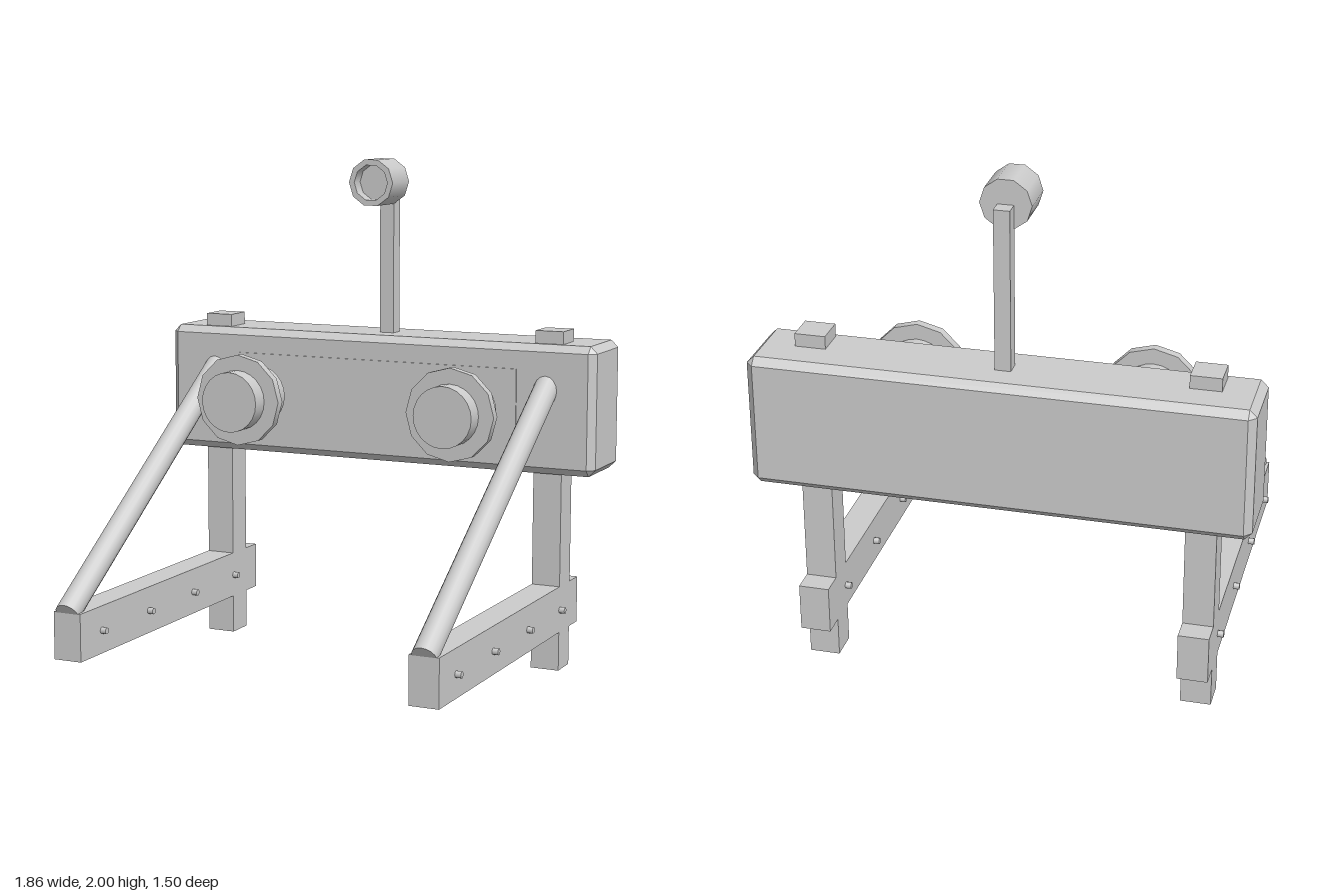
import * as THREE from 'three';
import { ConvexGeometry } from 'three/addons/geometries/ConvexGeometry.js';

const grey = new THREE.MeshStandardMaterial({ color: 0xcccccc });
grey.name = 'plain grey';

export function createModel() {
  const model = new THREE.Group();
  model.name = 'trackStop';

  const add = (name, geometry, parent = model) => {
    const mesh = new THREE.Mesh(geometry, grey);
    mesh.name = name;
    parent.add(mesh);
    return mesh;
  };

  // Box given by its lower and upper limits on each axis
  const box = (name, [x0, x1], [y0, y1], [z0, z1], parent) =>
    add(name, new THREE.BoxGeometry(x1 - x0, y1 - y0, z1 - z0), parent)
      .position.set((x0 + x1) / 2, (y0 + y1) / 2, (z0 + z1) / 2);

  // Cylinder lying along z between two depths
  const drum = (name, r, x, y, [z0, z1], sides, parent) =>
    add(name, new THREE.CylinderGeometry(r, r, z1 - z0, sides).rotateX(Math.PI / 2), parent)
      .position.set(x, y, (z0 + z1) / 2);

  // Cross beam with every edge chamfered
  const half = [0.93, 0.255, 0.152], chamfer = 0.028;
  const corners = [];
  for (const sx of [-1, 1]) for (const sy of [-1, 1]) for (const sz of [-1, 1])
    for (let full = 0; full < 3; full++) {
      const p = half.map((h, axis) => (axis === full ? h : h - chamfer));
      corners.push(new THREE.Vector3(sx * p[0], sy * p[1], sz * p[2]));
    }
  add('crossBeam', new ConvexGeometry(corners)).position.set(0, 1.045, -0.598);
  box('frontPanel', [-0.61, 0.61], [0.95, 1.2], [-0.447, -0.441]);

  // Left and right frames, each with its bumper
  for (const side of [-1, 1]) {
    const frame = new THREE.Group();
    frame.name = side > 0 ? 'leftFrame' : 'rightFrame';
    model.add(frame);
    const x = side * 0.728, width = [x - 0.058, x + 0.058];
    box('post', width, [0, 1.35], [-0.605, -0.488], frame);
    box('footRail', width, [0.155, 0.34], [-0.695, 0.725], frame);

    // Slanted brace from the rail's front end up into the beam
    const foot = new THREE.Vector3(x, 0.335, 0.723);
    const head = new THREE.Vector3(x, 1.157, -0.5);
    const brace = add('brace', new THREE.CylinderGeometry(0.048, 0.048, foot.distanceTo(head), 16), frame);
    brace.position.copy(foot).lerp(head, 0.5);
    brace.quaternion.setFromUnitVectors(new THREE.Vector3(0, 1, 0), head.clone().sub(foot).normalize());

    // Bolts passing through the rail
    for (const z of [0.572, 0.217, -0.14, -0.495]) {
      const bolt = add('bolt', new THREE.CylinderGeometry(0.013, 0.013, 0.162, 8).rotateZ(Math.PI / 2), frame);
      bolt.position.set(x, 0.245, z);
    }

    // Bumper shaft and its collar, standing clear of the beam
    drum('bumperShaft', 0.12, side * 0.457, 1.05, [-0.316, -0.062], 24, frame);
    drum('bumperCollar', 0.182, side * 0.457, 1.05, [-0.172, -0.135], 12, frame);
  }

  // Lamp on a pole; each profile segment is its own surface, so edges stay sharp
  box('lampPole', [-0.03, 0.03], [1.28, 1.91], [-0.625, -0.565]);
  const lamp = new THREE.Group();
  lamp.name = 'lamp';
  lamp.position.set(0, 1.911, -0.567);
  model.add(lamp);
  const profile = [[0, 0], [0.095, 0], [0.095, 0.16], [0.072, 0.16], [0.072, 0.105], [0, 0.105]]
    .map(([r, h]) => new THREE.Vector2(r, h));
  ['lampBack', 'lampCasing', 'lampRim', 'lampInnerWall', 'lampLens'].forEach((name, i) =>
    add(name, new THREE.LatheGeometry(profile.slice(i, i + 2), 10)
      .rotateY(Math.PI / 2).rotateX(Math.PI / 2), lamp));

  return model;
}
